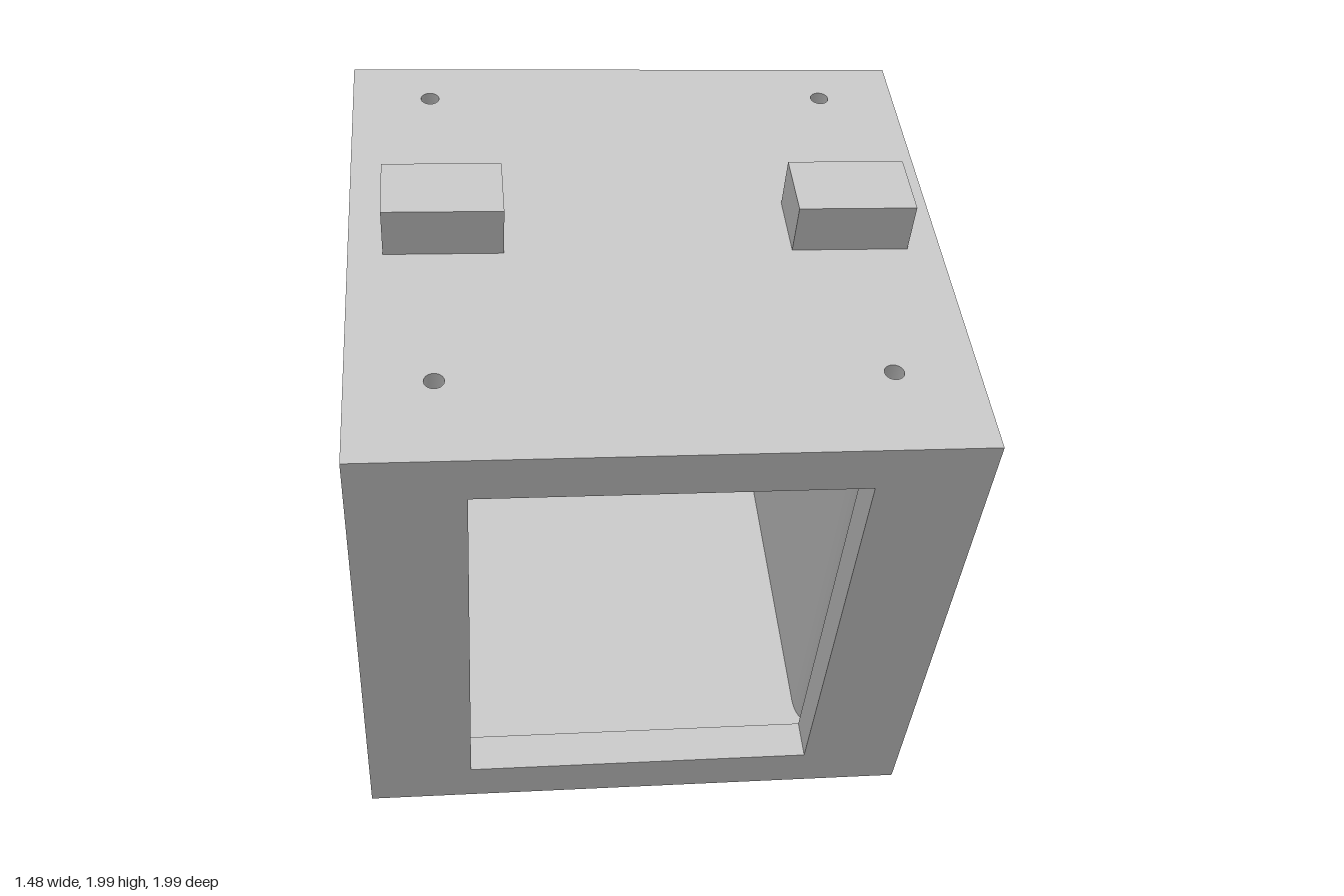
import * as THREE from 'three';

const W = 0.74, H = 0.705, D = 0.72;          // half sizes of the cabinet
const SIDE = 0.085, T = 0.103;                // side wall and panel thickness
const IX = W - SIDE, IY = H - T, FZ = D - T;  // inner half width, inner half height, rear of front frame
const OX = 0.465, RAIL = 0.13;                // opening half width, rail height
const LINER_Z = -0.45, PORT_Y = -0.18;

export function createModel() {
  const grey = new THREE.MeshStandardMaterial({ color: 0xc0c0c0 });
  grey.name = 'plainGrey';
  const model = new THREE.Group();
  const cabinet = new THREE.Group();
  cabinet.name = 'cabinet';
  model.add(cabinet);

  const add = (name, geometry) => {
    const mesh = new THREE.Mesh(geometry, grey);
    mesh.name = name;
    cabinet.add(mesh);
    return mesh;
  };

  // Box given by its limits
  const box = (name, x0, x1, y0, y1, z0, z1) =>
    add(name, new THREE.BoxGeometry(x1 - x0, y1 - y0, z1 - z0))
      .position.set((x0 + x1) / 2, (y0 + y1) / 2, (z0 + z1) / 2);

  // Rectangular plate with round holes [x, y, radius], extruded along z
  const plate = (x, y0, y1, depth, holes) => {
    const shape = new THREE.Shape();
    shape.moveTo(-x, y0).lineTo(x, y0).lineTo(x, y1).lineTo(-x, y1).closePath();
    for (const [hx, hy, r] of holes) {
      const hole = new THREE.Path();
      hole.absarc(hx, hy, r, 0, Math.PI * 2, true);
      shape.holes.push(hole);
    }
    return new THREE.ExtrudeGeometry(shape, { depth, bevelEnabled: false, curveSegments: 32 });
  };

  // Top panel with four screw holes, and the plain bottom panel
  const screws = [];
  for (const x of [-0.535, 0.535]) for (const z of [-0.587, 0.476]) screws.push([x, -z, 0.024]);
  add('topPanel', plate(IX, -FZ, D, T, screws).rotateX(-Math.PI / 2)).position.y = IY;
  box('bottomPanel', -IX, IX, -H, -IY, -D, FZ);

  // Back panel and the thick lining in front of it, both with the port hole
  add('backPanel', plate(IX, -IY, IY, T, [[0, PORT_Y, 0.125]])).position.z = -D;
  add('backLining', plate(IX, -IY, IY, LINER_Z + FZ, [[0, PORT_Y, 0.175]])).position.z = -FZ;

  // Raised ring around the port
  const ring = [[0.125, 0], [0.2, 0], [0.2, 0], [0.2, 0.035], [0.2, 0.035], [0.125, 0.035], [0.125, 0.035], [0.125, 0]];
  const ringShape = new THREE.Shape();
  ringShape.absarc(0, 0, ring[1][0], 0, Math.PI * 2, false);
  const ringHole = new THREE.Path();
  ringHole.absarc(0, 0, ring[0][0], 0, Math.PI * 2, true);
  ringShape.holes.push(ringHole);
  add('portRing', new THREE.ExtrudeGeometry(ringShape, { depth: 0.035, bevelEnabled: false, curveSegments: 32 }))
    .position.set(0, PORT_Y, -D - 0.035);

  for (const s of [-1, 1]) {
    const side = s > 0 ? 'left' : 'right';
    const span = (a, b) => (s > 0 ? [a, b] : [-b, -a]);
    box(side + 'Wall', ...span(IX, W), -H, H, -D, FZ);
    box(side + 'FrameStile', ...span(OX, W), -H, H, FZ, D);
    box(side + 'TopBlock', ...span(0.36, IX), H, 0.838, -0.14, 0.043);

    // Side lining with a rounded front edge
    const lining = new THREE.Shape();
    lining.moveTo(s * IX, -LINER_Z).lineTo(s * OX, -LINER_Z).lineTo(s * OX, -0.52);
    lining.quadraticCurveTo(s * OX, -FZ, s * (OX + 0.1), -FZ).lineTo(s * IX, -FZ).closePath();
    add(side + 'Lining', new THREE.ExtrudeGeometry(lining, { depth: IY * 2, bevelEnabled: false })
      .rotateX(-Math.PI / 2)).position.y = -IY;
  }

  // Rails of the front frame
  box('topFrameRail', -OX, OX, H - RAIL, H, FZ, D);
  box('bottomFrameRail', -OX, OX, -H, RAIL - H, FZ, D);

  // The whole cabinet tips forward onto its lower front edge
  cabinet.rotation.x = 0.625;
  cabinet.position.y = 0.995;
  return model;
}
